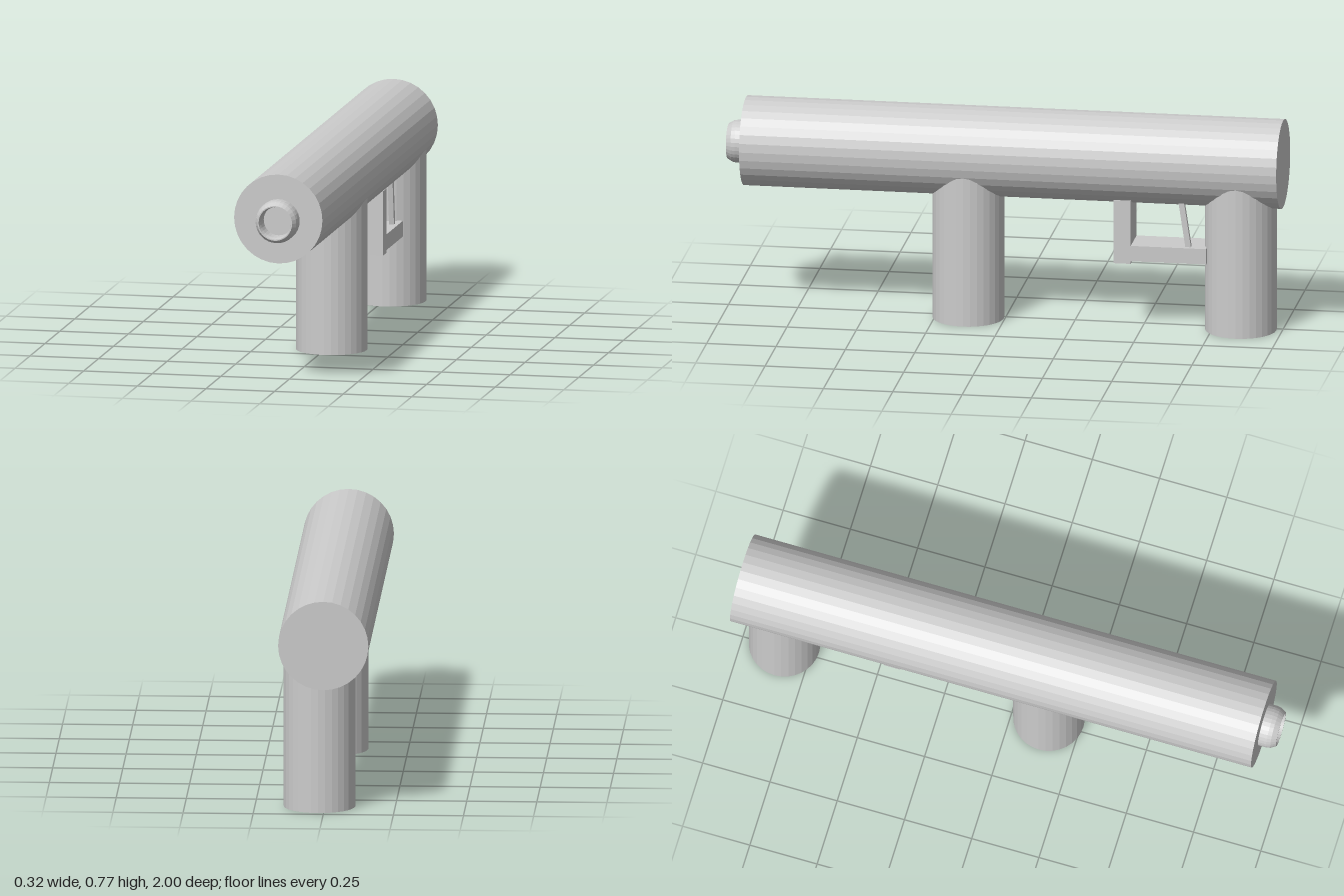
import * as THREE from 'three';

export function createModel() {
  const group = new THREE.Group();
  const material = new THREE.MeshStandardMaterial({ color: 0xcccccc, flatShading: true });
  const openMaterial = new THREE.MeshStandardMaterial({ color: 0xcccccc, flatShading: true, side: THREE.DoubleSide });

  const add = (name, geometry, x, y, z, mat = material) => {
    const mesh = new THREE.Mesh(geometry, mat);
    mesh.name = name;
    mesh.position.set(x, y, z);
    group.add(mesh);
    return mesh;
  };

  // Long horizontal barrel
  const barrel = new THREE.CylinderGeometry(0.161, 0.161, 1.937, 32).rotateX(Math.PI / 2);
  add('barrel', barrel, 0, 0.613, -0.0315);

  // Hollow muzzle ring, tapering to a thin rim
  const profile = [
    [0.077, -0.01], [0.077, 0.03], [0.074, 0.045], [0.063, 0.063],
    [0.059, 0.063], [0.055, 0.045], [0.054, 0],
  ].map(([r, h]) => new THREE.Vector2(r, h));
  const muzzle = new THREE.LatheGeometry(profile, 32).rotateX(Math.PI / 2);
  add('muzzle', muzzle, 0.001, 0.608, 0.937, openMaterial);

  // Two upright grips, slightly off centre, running up into the barrel
  for (const [name, z] of [['frontGrip', 0.132], ['rearGrip', -0.851]]) {
    add(name, new THREE.CylinderGeometry(0.128, 0.128, 0.6, 32), 0.02, 0.3, z);
  }

  // Trigger guard: front post and lower bar
  add('guardPost', new THREE.BoxGeometry(0.135, 0.233, 0.063), 0.023, 0.36, -0.433);
  add('guardBar', new THREE.BoxGeometry(0.135, 0.057, 0.325), 0.023, 0.282, -0.574);

  // Thin leaning trigger
  const trigger = add('trigger', new THREE.BoxGeometry(0.018, 0.18, 0.02), 0.066, 0.383, -0.658);
  trigger.rotation.x = 0.15;

  return group;
}
